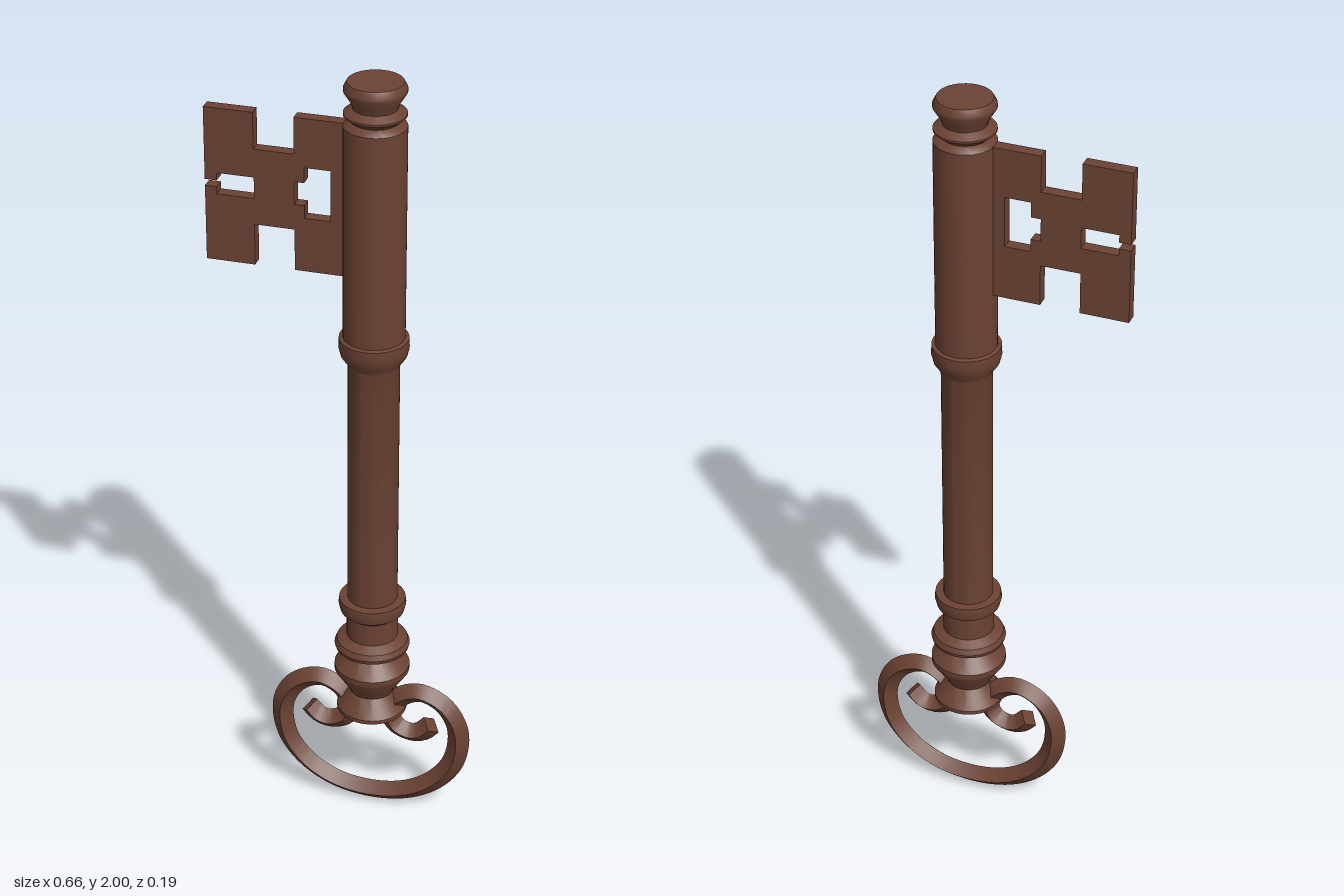
import * as THREE from 'three';
import { toCreasedNormals } from 'three/addons/utils/BufferGeometryUtils.js';

const AXIS_X = 0.071; // the shaft sits off centre because the bit projects to one side
const v2 = (p) => new THREE.Vector2(...p);

export function createModel() {
  const key = new THREE.Group();
  key.name = 'key';
  const iron = new THREE.MeshStandardMaterial({ color: 0x6b4233 });
  const add = (geometry, name) => {
    const mesh = new THREE.Mesh(geometry, iron);
    mesh.name = name;
    key.add(mesh);
    return mesh;
  };

  // Turned shaft: foot flare, two beads, collars, stem, barrel and tip
  const profile = [
    [0, 0.28], [0.06, 0.28], [0.088, 0.298], [0.088, 0.308], [0.055, 0.352],
    [0.062, 0.368], [0.094, 0.415], [0.094, 0.43], [0.063, 0.465],
    [0.091, 0.483], [0.094, 0.493], [0.088, 0.507], [0.064, 0.52],
    [0.064, 0.58], [0.079, 0.592], [0.084, 0.612], [0.082, 0.628], [0.062, 0.63],
    [0.062, 1.285], [0.079, 1.31], [0.084, 1.33], [0.083, 1.355], [0.074, 1.358],
    [0.074, 1.893], [0.068, 1.9], [0.055, 1.905], [0.073, 1.92], [0.073, 1.925],
    [0.052, 1.937], [0.056, 1.95], [0.073, 1.977], [0.073, 1.985], [0.065, 2], [0, 2],
  ].map(v2);
  add(toCreasedNormals(new THREE.LatheGeometry(profile, 40), 0.6), 'shaft').position.x = AXIS_X;

  // Flat bit with notches, a side slot and a stepped window
  const bit = new THREE.Shape([
    [0.03, 1.51], [0.03, 1.895], [-0.117, 1.895], [-0.117, 1.804], [-0.214, 1.804],
    [-0.214, 1.895], [-0.333, 1.895], [-0.333, 1.714], [-0.304, 1.714], [-0.304, 1.733],
    [-0.214, 1.733], [-0.214, 1.68], [-0.304, 1.68], [-0.304, 1.698], [-0.333, 1.698],
    [-0.333, 1.51], [-0.214, 1.51], [-0.214, 1.614], [-0.117, 1.614], [-0.117, 1.51],
  ].map(v2));
  bit.holes.push(new THREE.Path([
    [-0.03, 1.646], [-0.03, 1.773], [-0.093, 1.773], [-0.093, 1.735],
    [-0.117, 1.735], [-0.117, 1.678], [-0.093, 1.678], [-0.093, 1.646],
  ].map(v2)));
  const bitGeometry = new THREE.ExtrudeGeometry(bit, { depth: 0.03, bevelEnabled: false });
  add(bitGeometry.translate(0, 0, -0.015), 'bit');

  // Bow: one scrolled bar of diamond section, mirrored about its centre
  const centre = 0.067;
  const half = [
    [-0.16, 0.265], [-0.135, 0.24], [-0.105, 0.233], [-0.067, 0.25], [-0.052, 0.288],
    [-0.075, 0.333], [-0.13, 0.358], [-0.19, 0.333], [-0.225, 0.28], [-0.232, 0.225],
    [-0.215, 0.153], [-0.164, 0.088], [-0.09, 0.046],
  ];
  const points = [...half, [0, 0.032], ...half.map(([x, y]) => [-x, y]).reverse()];
  const path = new THREE.CatmullRomCurve3(points.map(([x, y]) => new THREE.Vector3(x + centre, y, 0)));
  const bar = 0.028;
  add(toCreasedNormals(new THREE.TubeGeometry(path, 140, bar, 4), 0.6), 'bow');

  // Flat ends of the two scrolls
  for (const [t, sign] of [[0, -1], [1, 1]]) {
    const cap = add(new THREE.CircleGeometry(bar, 4), 'scrollEnd');
    cap.position.copy(path.getPoint(t));
    cap.lookAt(path.getTangent(t).multiplyScalar(sign).add(cap.position));
  }
  return key;
}
